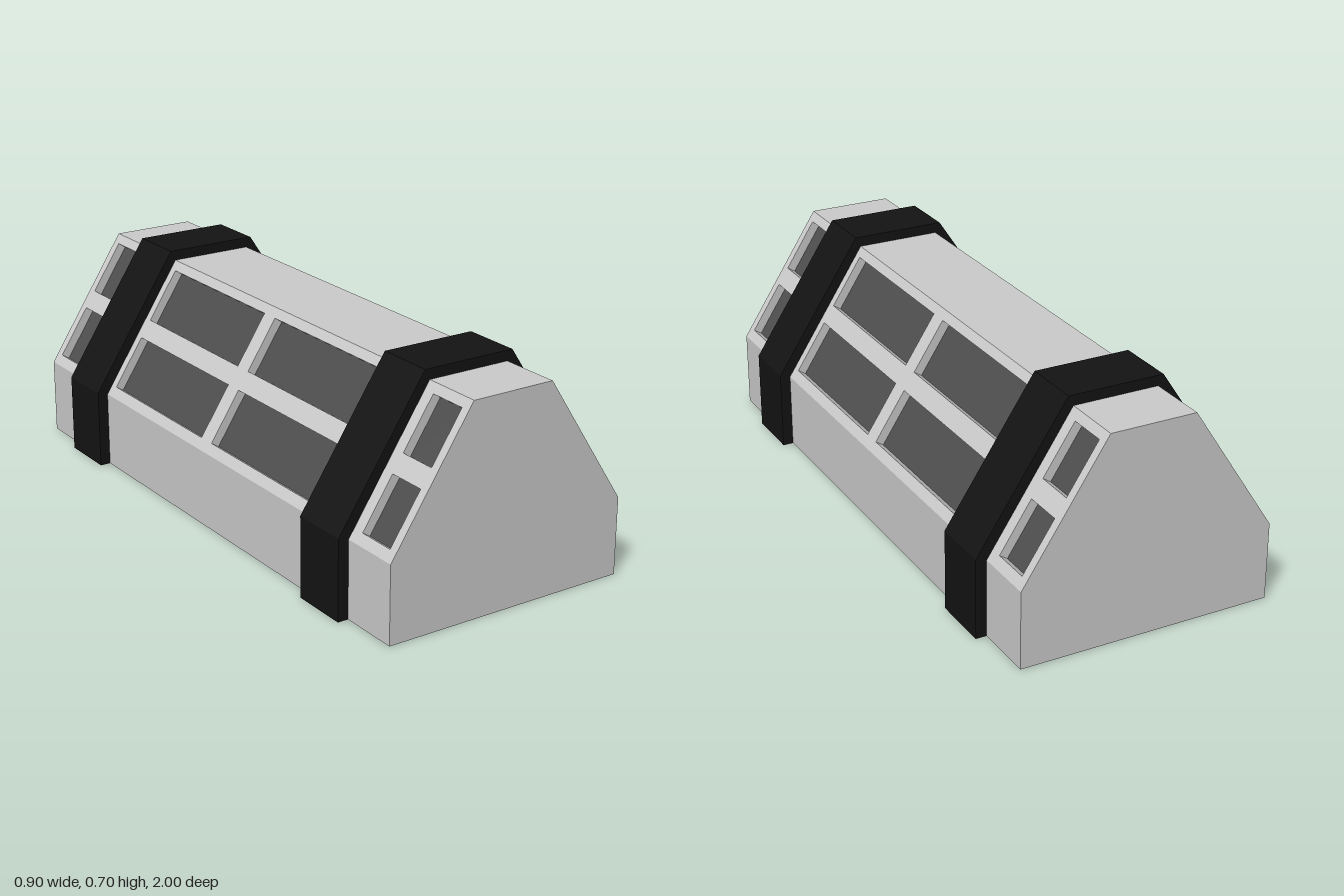
import * as THREE from 'three';

const W = 0.415, EAVE = 0.25, TOP_W = 0.14, TOP = 0.672; // body section
const DEPTH = 0.032;                                     // window recess
const run = W - TOP_W, rise = TOP - EAVE, slope = Math.hypot(run, rise);
const nx = rise / slope, ny = run / slope;               // slope normal

const grey = new THREE.MeshStandardMaterial({ color: 0xcccccc });
const black = new THREE.MeshStandardMaterial({ color: 0x131313 });
const glass = new THREE.MeshStandardMaterial({ color: 0x4e4e4e });

const shapeOf = (pts) => new THREE.Shape(pts.map(([x, y]) => new THREE.Vector2(x, y)));
// full outline from its right half, listed bottom to top
const mirrored = (half) => [...half, ...half.map(([x, y]) => [-x, y]).reverse()];

function extrude(name, shape, depth, z, material) {
  const geo = new THREE.ExtrudeGeometry(shape, { depth, bevelEnabled: false });
  const mesh = new THREE.Mesh(geo, material);
  mesh.name = name;
  mesh.position.z = z;
  return mesh;
}

// Sloping wall in its own plane: x along the body, y up the slope, z outward
function slopedWall() {
  const wall = new THREE.Group();
  const shape = shapeOf([[-1, 0], [1, 0], [1, slope], [-1, slope]]);
  const columns = [[-0.97, -0.84], [-0.58, -0.03], [0.03, 0.58], [0.84, 0.97]];
  const rows = [[0.28, 0.435], [0.49, 0.645]].map((r) => r.map((y) => (y - EAVE) / nx));
  for (const [a, b] of columns) {
    for (const [c, d] of rows) {
      shape.holes.push(new THREE.Path([[a, c], [a, d], [b, d], [b, c]].map(([x, y]) => new THREE.Vector2(x, y))));
      const pane = new THREE.Mesh(new THREE.PlaneGeometry(b - a, d - c), glass);
      pane.name = 'windowPane';
      pane.position.set((a + b) / 2, (c + d) / 2, -DEPTH + 0.002);
      wall.add(pane);
    }
  }
  wall.add(extrude('windowFrame', shape, DEPTH, -DEPTH, grey));
  const basis = new THREE.Matrix4().makeBasis(
    new THREE.Vector3(0, 0, -1), new THREE.Vector3(-ny, nx, 0), new THREE.Vector3(nx, ny, 0));
  wall.quaternion.setFromRotationMatrix(basis);
  wall.position.set(W, EAVE, 0);
  return wall;
}

export function createModel() {
  const model = new THREE.Group();
  model.name = 'windowedHull';

  // Hull core, with the slopes set back to take the window walls
  const core = mirrored([
    [W, 0], [W, EAVE], [W - nx * DEPTH, EAVE - ny * DEPTH],
    [TOP_W - nx * DEPTH, TOP - ny * DEPTH], [TOP_W, TOP],
  ]);
  model.add(extrude('hull', shapeOf(core), 2, -1, grey));

  // Window walls on both sides
  for (const [name, turn] of [['leftWindowWall', 0], ['rightWindowWall', Math.PI]]) {
    const side = new THREE.Group();
    side.name = name;
    side.rotation.y = turn;
    side.add(slopedWall());
    model.add(side);
  }

  // Black bands wrapped over the hull, open underneath
  const outer = mirrored([[0.45, 0], [0.45, 0.26], [0.157, 0.705]]);
  const inner = mirrored([[W, 0], [W, EAVE], [TOP_W, TOP]]).reverse();
  const band = shapeOf([...outer, ...inner]);
  model.add(extrude('frontBand', band, 0.192, 0.608, black));
  model.add(extrude('backBand', band, 0.192, -0.8, black));
  return model;
}
